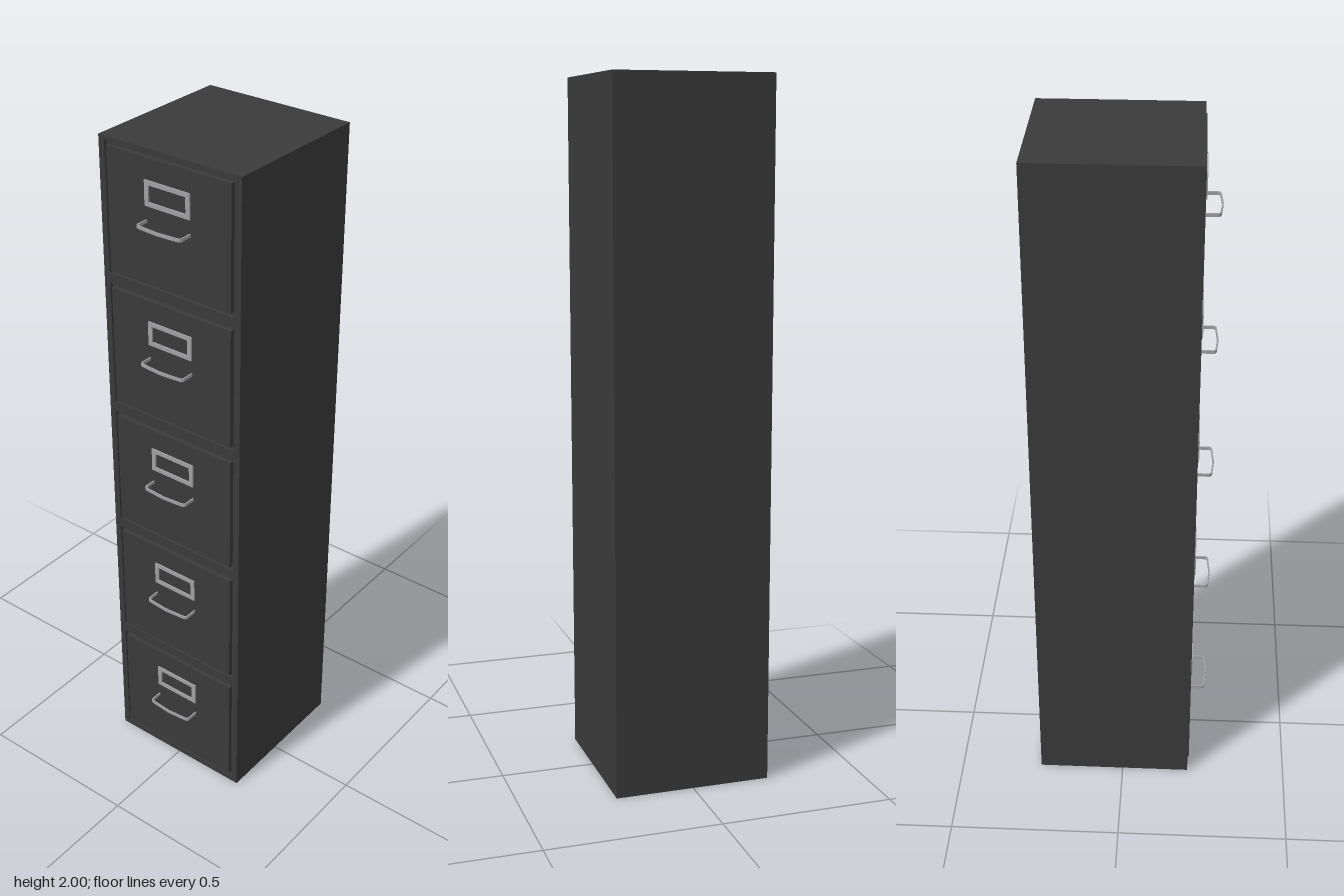
import * as THREE from 'three';

const W = 0.456, BACK = -0.255, FRONT = 0.202, RECESS = 0.01;
const DRAWERS = 5, PITCH = 0.4, OPEN_W = 0.418, OPEN_H = 0.37;

// Closed rectangle centred on (0, cy), usable as outline or hole
function rect(Type, w, h, cy = 0) {
  const p = new Type();
  p.moveTo(-w / 2, cy - h / 2);
  p.lineTo(w / 2, cy - h / 2);
  p.lineTo(w / 2, cy + h / 2);
  p.lineTo(-w / 2, cy + h / 2);
  p.closePath();
  return p;
}

function extrude(shape, depth) {
  return new THREE.ExtrudeGeometry(shape, { depth, bevelEnabled: false });
}

// Bowed strap seen from above: outer outline, then back along the inner one
function handleShape() {
  const outer = [[0.073, 0.204], [0.073, 0.241], [0.069, 0.247], [0.06, 0.249], [0, 0.2535]];
  const inner = [[0.069, 0.204], [0.069, 0.239], [0.066, 0.243], [0.059, 0.245], [0, 0.2495]];
  const arch = (pts) => [...pts, ...pts.slice(0, -1).reverse().map(([x, z]) => [-x, z])];
  const points = [...arch(outer), ...arch(inner).reverse()];
  return new THREE.Shape(points.map(([x, z]) => new THREE.Vector2(x, z)));
}

export function createModel() {
  const paint = new THREE.MeshStandardMaterial({ color: 0x3a3a3a });
  paint.name = 'charcoal paint';
  const metal = new THREE.MeshStandardMaterial({ color: 0xa0a0a4 });
  metal.name = 'grey metal';

  const model = new THREE.Group();
  model.name = 'filingCabinet';
  const add = (parent, name, geometry, material, x, y, z) => {
    const mesh = new THREE.Mesh(geometry, material);
    mesh.name = name;
    mesh.position.set(x, y, z);
    parent.add(mesh);
    return mesh;
  };

  // Cabinet body behind the drawer openings
  const depth = FRONT - RECESS - BACK;
  add(model, 'cabinetBody', new THREE.BoxGeometry(W, 2, depth), paint, 0, 1, BACK + depth / 2);

  // Front frame with one opening per drawer
  const frame = rect(THREE.Shape, W, 2, 1);
  for (let i = 0; i < DRAWERS; i++) {
    frame.holes.push(rect(THREE.Path, OPEN_W, OPEN_H, 0.203 + i * PITCH));
  }
  add(model, 'frontFrame', extrude(frame, RECESS), paint, 0, 0, FRONT - RECESS);

  // Shared drawer parts
  const panel = new THREE.BoxGeometry(0.4, 0.35, 0.014);
  const holder = rect(THREE.Shape, 0.146, 0.07);
  holder.holes.push(rect(THREE.Path, 0.12, 0.046));
  const holderGeometry = extrude(holder, 0.005);
  const handleGeometry = extrude(handleShape(), 0.009);
  handleGeometry.rotateX(Math.PI / 2);

  for (let i = 0; i < DRAWERS; i++) {
    const drawer = new THREE.Group();
    drawer.name = `drawer${i + 1}`;
    drawer.position.y = 0.203 + i * PITCH;
    add(drawer, 'drawerFront', panel, paint, 0, 0, 0.199);
    add(drawer, 'labelHolder', holderGeometry, metal, 0, 0.081, 0.2055);
    add(drawer, 'handle', handleGeometry, metal, 0, 0.0075, 0);
    model.add(drawer);
  }
  return model;
}
